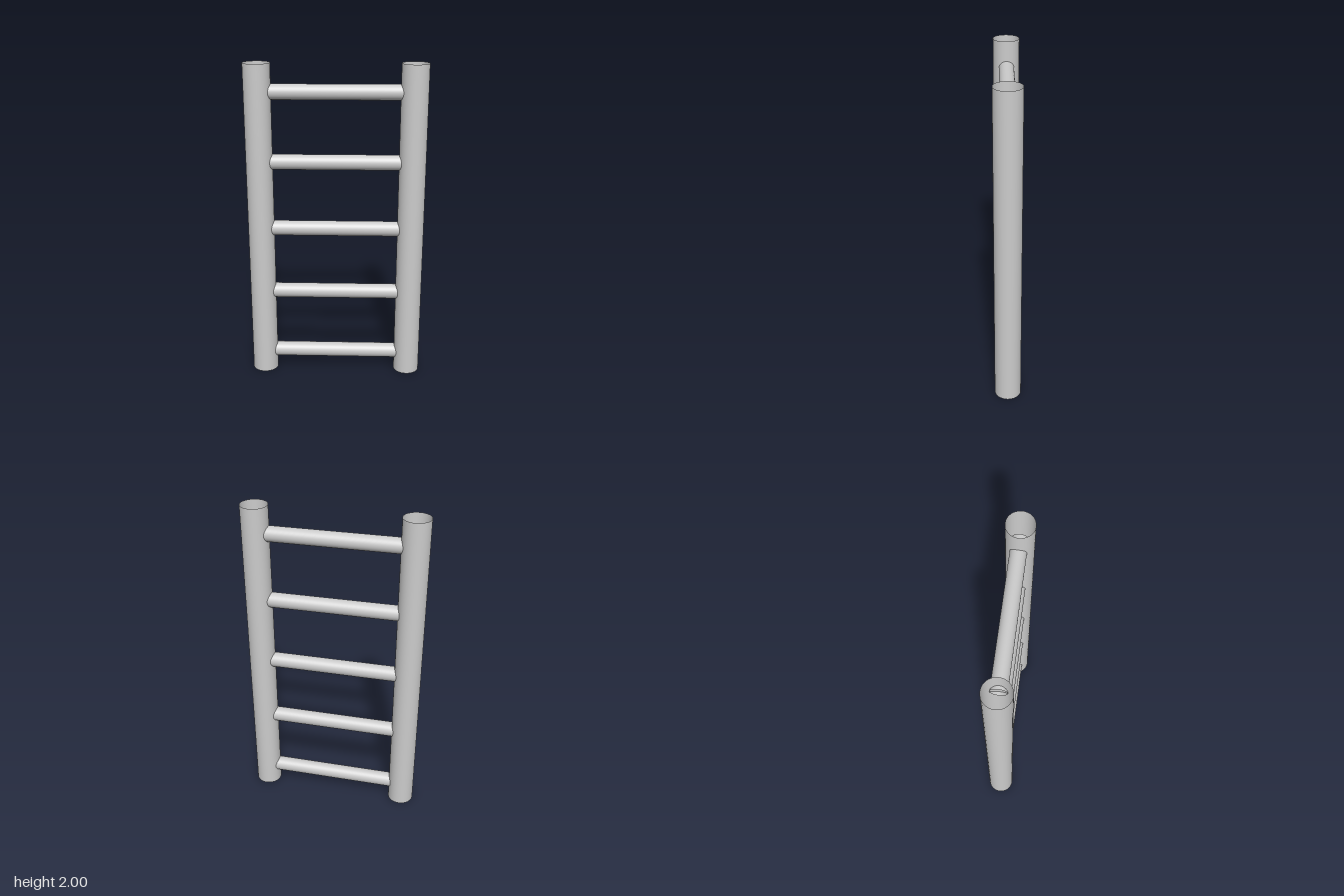
import * as THREE from 'three';

export function createModel() {
  const group = new THREE.Group();
  const material = new THREE.MeshStandardMaterial({ color: 0xcccccc, side: THREE.DoubleSide });

  // Open-ended round tube
  const tube = (name, radius, length) => {
    const mesh = new THREE.Mesh(
      new THREE.CylinderGeometry(radius, radius, length, 48, 1, true), material);
    mesh.name = name;
    group.add(mesh);
    return mesh;
  };

  // Two hollow uprights
  for (const side of [-1, 1]) {
    const rail = tube(side > 0 ? 'leftRail' : 'rightRail', 0.082, 2);
    rail.position.set(side * 0.466, 1, 0);
  }

  // Five evenly spaced rungs, reaching deeper into the left rail
  const x0 = -0.405, x1 = 0.482;
  for (let i = 0; i < 5; i++) {
    const rung = tube(`rung${i + 1}`, 0.047, x1 - x0);
    rung.rotation.z = Math.PI / 2;
    rung.position.set((x0 + x1) / 2, 0.128 + i * 0.4255, -0.002);
  }

  return group;
}
